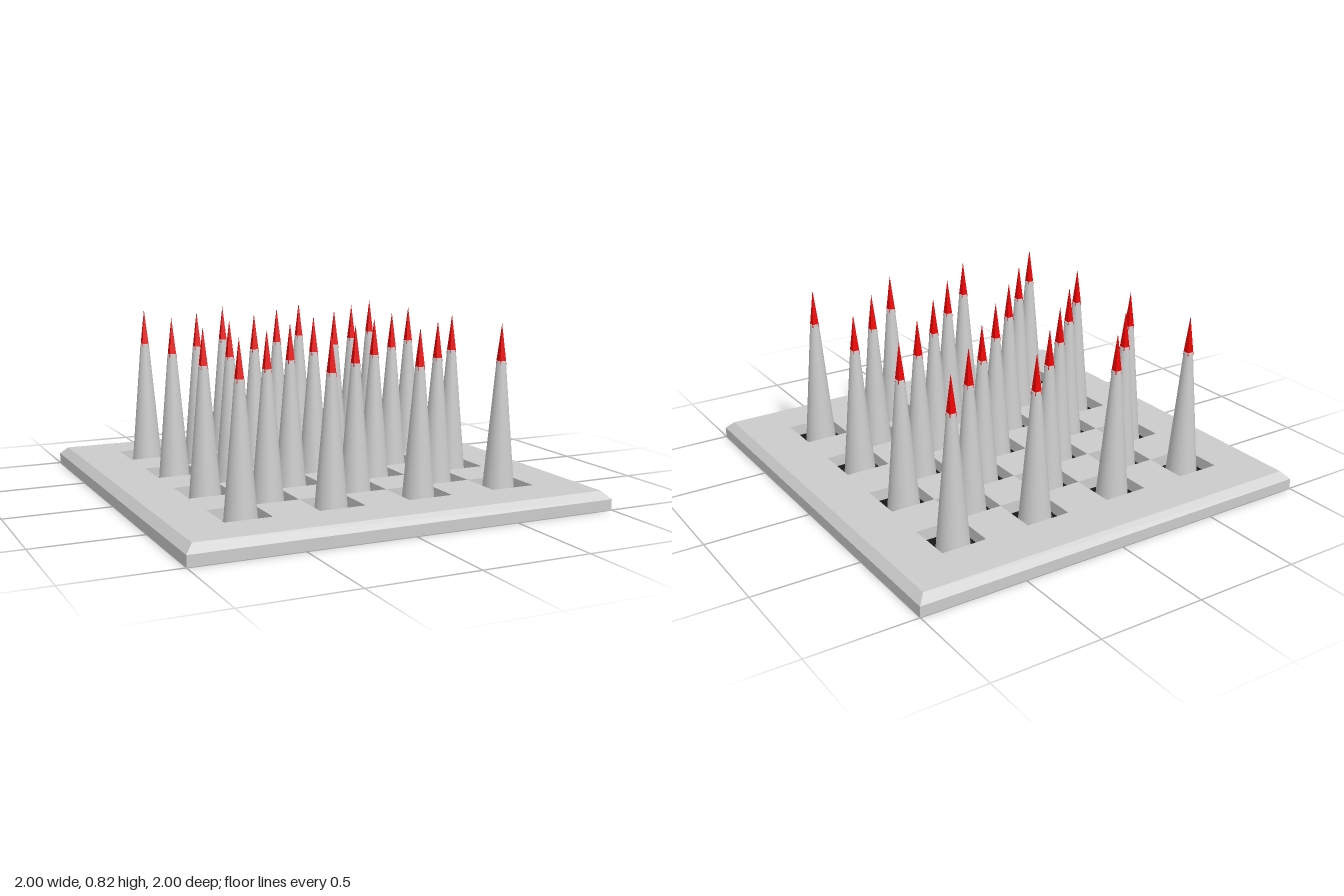
import * as THREE from 'three';

const CELLS = 7, PIT_HALF = 0.75, CELL = 2 * PIT_HALF / CELLS;
const FLOOR = 0.03, TOP = 0.085, SHOULDER = 0.65, TIP = 0.82;

export function createModel() {
  const model = new THREE.Group();
  const grey = new THREE.MeshStandardMaterial({ color: 0xcccccc });
  const greyFlat = new THREE.MeshStandardMaterial({ color: 0xcccccc, flatShading: true });
  const black = new THREE.MeshStandardMaterial({ color: 0x181818 });
  const red = new THREE.MeshStandardMaterial({ color: 0xee0000, flatShading: true });

  const add = (parent, name, geometry, material, x = 0, y = 0, z = 0) => {
    const mesh = new THREE.Mesh(geometry, material);
    mesh.name = name;
    mesh.position.set(x, y, z);
    parent.add(mesh);
    return mesh;
  };

  // Square plinth with chamfered rim and a recessed square: a four-sided lathe
  const profile = [[0, 0], [1, 0], [1, 0.05], [0.965, TOP], [PIT_HALF, TOP], [PIT_HALF, FLOOR - 0.005], [0, FLOOR - 0.005]]
    .map(([half, y]) => new THREE.Vector2(half * Math.SQRT2, y));
  const plinth = new THREE.LatheGeometry(profile, 4, Math.PI / 4).toNonIndexed();
  plinth.computeVertexNormals();
  add(model, 'plinth', plinth, greyFlat);

  // Dark floor seen at the bottom of the pits
  const floor = new THREE.PlaneGeometry(2 * PIT_HALF, 2 * PIT_HALF).rotateX(-Math.PI / 2);
  add(model, 'pitFloor', floor, black, 0, FLOOR, 0);

  const tileGeometry = new THREE.BoxGeometry(CELL, TOP - FLOOR, CELL);
  const shaftGeometry = new THREE.CylinderGeometry(0.021, 0.075, SHOULDER - FLOOR, 32);
  const tipBase = SHOULDER - 0.015;
  const tipGeometry = new THREE.ConeGeometry(0.024, TIP - tipBase, 4).rotateY(Math.PI / 4);

  // Checkerboard: spikes in the pits, raised tiles between them
  const oddColumns = [-0.43, -0.002, 0.421];
  const evenColumns = [-0.637, -0.219, 0.211, 0.633];
  for (let row = 0; row < CELLS; row++) {
    for (let col = 0; col < CELLS; col++) {
      const cx = (col - 3) * CELL, cz = (row - 3) * CELL;
      if ((row + col) % 2) {
        add(model, 'raisedTile', tileGeometry, grey, cx, (TOP + FLOOR) / 2, cz);
        continue;
      }
      const odd = row % 2 === 1;
      const x = odd ? oddColumns[(col - 1) / 2] + (row - 3) * 0.003 : evenColumns[col / 2];
      const spike = new THREE.Group();
      spike.name = 'spike';
      spike.position.set(x, 0, cz);
      add(spike, 'spikeShaft', shaftGeometry, grey, 0, (SHOULDER + FLOOR) / 2, 0);
      add(spike, 'spikeTip', tipGeometry, red, 0, (TIP + tipBase) / 2, 0);
      model.add(spike);
    }
  }
  return model;
}
